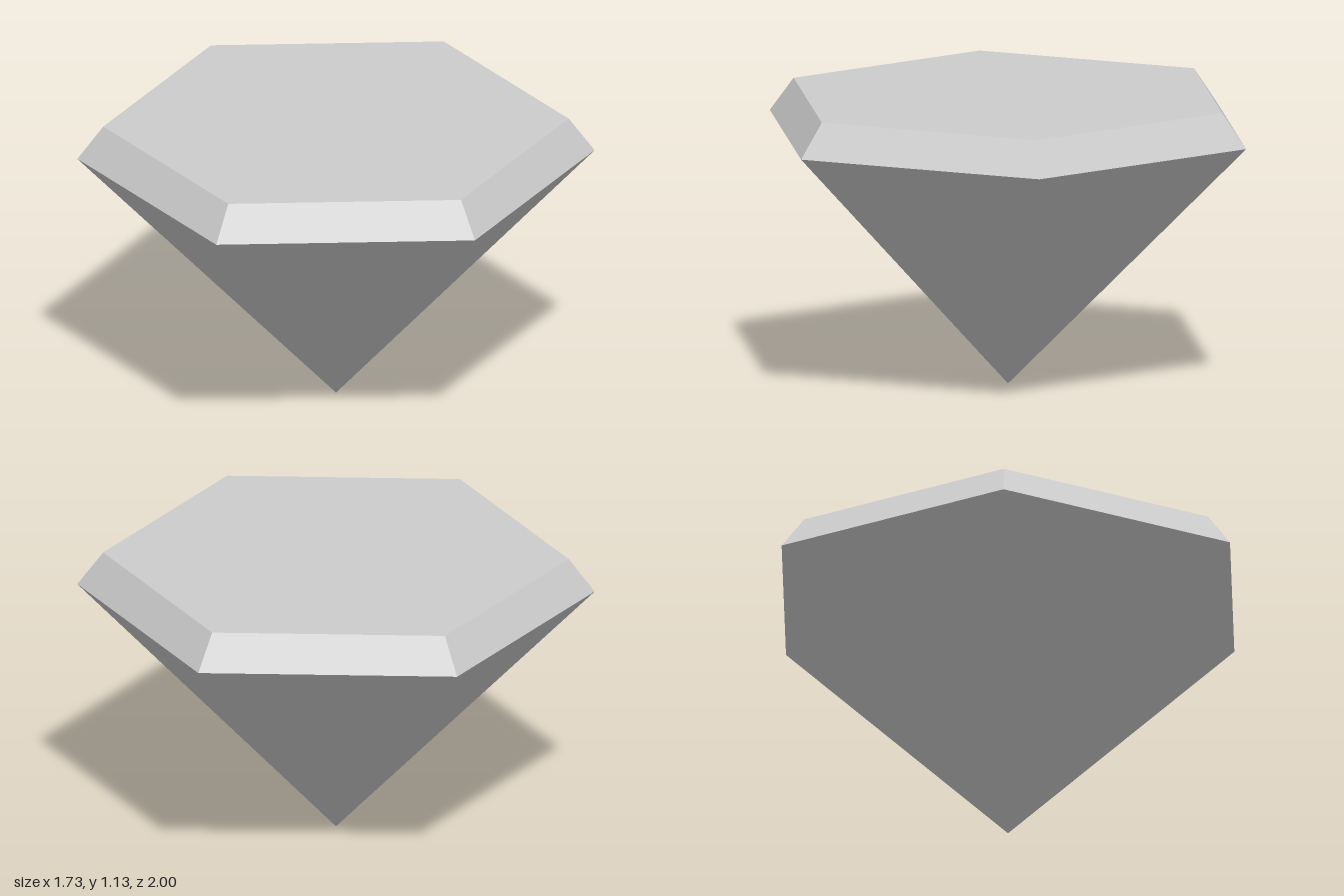
import * as THREE from 'three';

const SIDES = 6;
const GIRDLE_RADIUS = 1;
const TABLE_RADIUS = 0.9;
const PAVILION_HEIGHT = 1;
const CROWN_HEIGHT = 0.134;

export function createModel() {
  const gem = new THREE.Group();
  gem.name = 'gem';

  const stone = new THREE.MeshStandardMaterial({ color: 0xcccccc, flatShading: true });
  stone.name = 'pale grey stone';

  const addPart = (name, geometry, y) => {
    const mesh = new THREE.Mesh(geometry, stone);
    mesh.name = name;
    mesh.position.y = y;
    gem.add(mesh);
  };

  // Lower point, open where it meets the crown
  addPart('pavilion',
    new THREE.CylinderGeometry(GIRDLE_RADIUS, 0, PAVILION_HEIGHT, SIDES, 1, true),
    PAVILION_HEIGHT / 2);

  // Bevelled band around the top
  addPart('crown',
    new THREE.CylinderGeometry(TABLE_RADIUS, GIRDLE_RADIUS, CROWN_HEIGHT, SIDES, 1, true),
    PAVILION_HEIGHT + CROWN_HEIGHT / 2);

  // Flat top facet, turned so its corners meet the crown
  const table = new THREE.CircleGeometry(TABLE_RADIUS, SIDES, Math.PI / 2);
  table.rotateX(-Math.PI / 2);
  addPart('table', table, PAVILION_HEIGHT + CROWN_HEIGHT);

  return gem;
}
